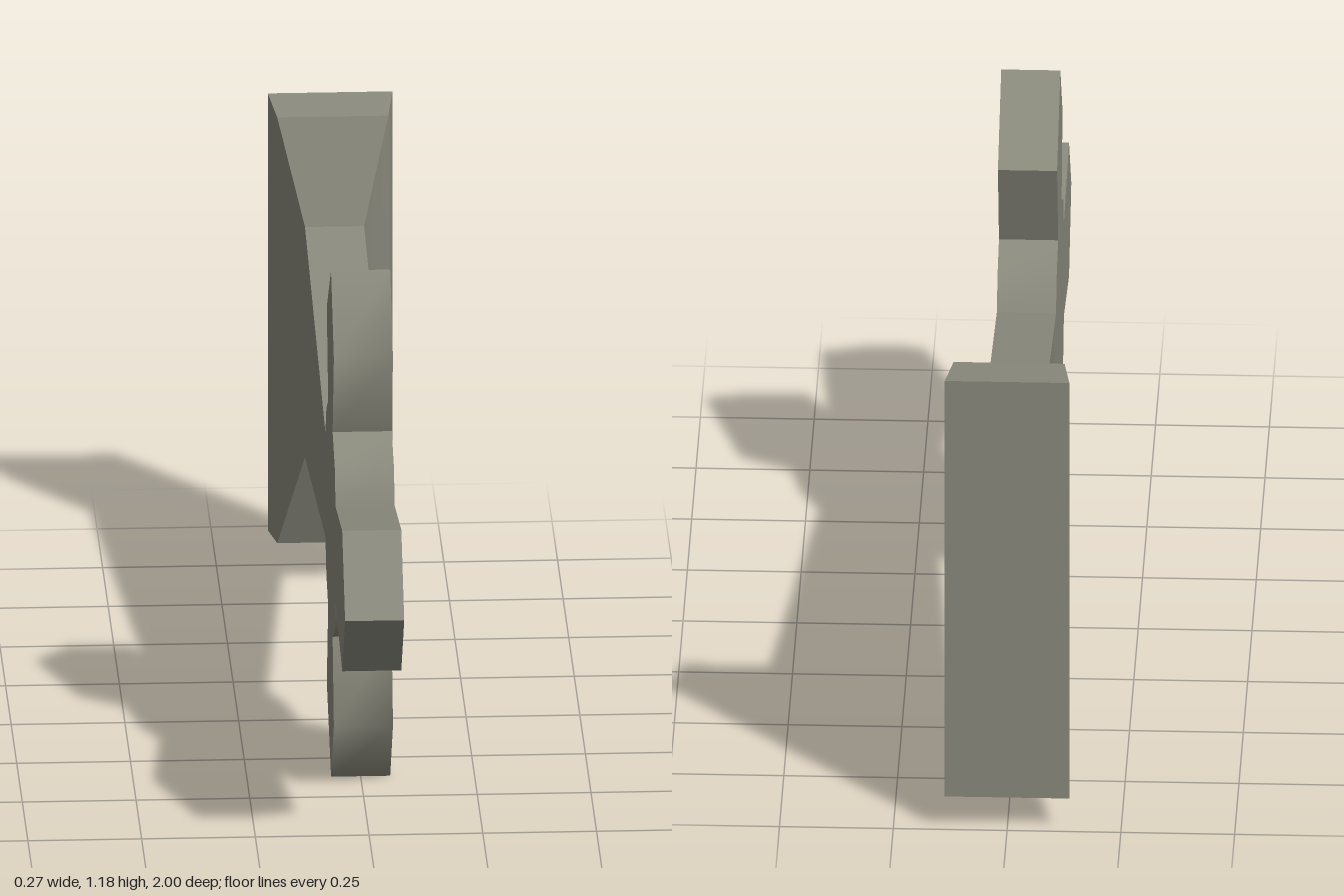
import * as THREE from 'three';
import { mergeGeometries, toCreasedNormals } from 'three/addons/utils/BufferGeometryUtils.js';

const MID_Y = 0.591;
const HALF_WIDTH = 0.065;

// Upper half of the side outline as (z, y), from the front tip to the flared foot
const UPPER = [
  [0.87, 0.755], [0.57, 0.703], [0.54, 0.78], [0.44, 0.83], [0.495, 1.02],
  [0.37, 1.182], [0.18, 1.03], [0.24, 0.83], [0.16, 0.785], [0.117, 0.712], [-0.8, 0.86],
];

// Flared foot sections: z, half width, half height
const FOOT = [[-0.8, HALF_WIDTH, 0.269], [-0.88, 0.122, 0.497], [-1, 0.137, 0.51]];

// Flat cross with pointed arms, hub and tapering stem
function crossGeometry() {
  const lower = UPPER.map(([z, y]) => [z, 2 * MID_Y - y]).reverse();
  const outline = [[1, MID_Y], ...UPPER, ...lower].map(([z, y]) => new THREE.Vector2(z, y));
  const geometry = new THREE.ExtrudeGeometry(new THREE.Shape(outline), {
    depth: 2 * HALF_WIDTH, bevelEnabled: false,
  });
  geometry.rotateY(-Math.PI / 2).translate(HALF_WIDTH, 0, 0);
  geometry.deleteAttribute('uv');
  return geometry;
}

// Rectangular sections joined into the flared foot, closed at the back
function footGeometry() {
  const positions = [];
  const rings = FOOT.map(([z, w, h]) =>
    [[-w, -h], [w, -h], [w, h], [-w, h]].map(([x, y]) => [x, MID_Y + y, z]));
  const quad = (a, b, c, d) => positions.push(...a, ...b, ...c, ...a, ...c, ...d);
  for (let i = 0; i < rings.length - 1; i++) {
    const a = rings[i], b = rings[i + 1];
    for (let j = 0; j < 4; j++) {
      const k = (j + 1) % 4;
      quad(a[j], b[j], b[k], a[k]);
    }
  }
  const back = rings[rings.length - 1];
  quad(back[0], back[3], back[2], back[1]);
  const geometry = new THREE.BufferGeometry();
  geometry.setAttribute('position', new THREE.Float32BufferAttribute(positions, 3));
  geometry.computeVertexNormals();
  return geometry;
}

// Copy a run of vertices into its own geometry
function slice(source, start, end) {
  const geometry = new THREE.BufferGeometry();
  for (const name of ['position', 'normal']) {
    const array = source.getAttribute(name).array.slice(start * 3, end * 3);
    geometry.setAttribute(name, new THREE.BufferAttribute(array, 3));
  }
  return geometry;
}

export function createModel() {
  const group = new THREE.Group();
  group.name = 'crossOrnament';
  const stone = new THREE.MeshStandardMaterial({ color: 0x8a8a7d });
  stone.name = 'olive grey';

  // Shade both parts together so the sides flow smoothly into the foot
  const cross = crossGeometry();
  const count = cross.getAttribute('position').count;
  const whole = toCreasedNormals(mergeGeometries([cross, footGeometry()]), THREE.MathUtils.degToRad(55));
  const parts = { cross: [0, count], flaredFoot: [count, whole.getAttribute('position').count] };
  for (const [name, [start, end]] of Object.entries(parts)) {
    const mesh = new THREE.Mesh(slice(whole, start, end), stone);
    mesh.name = name;
    group.add(mesh);
  }
  return group;
}
